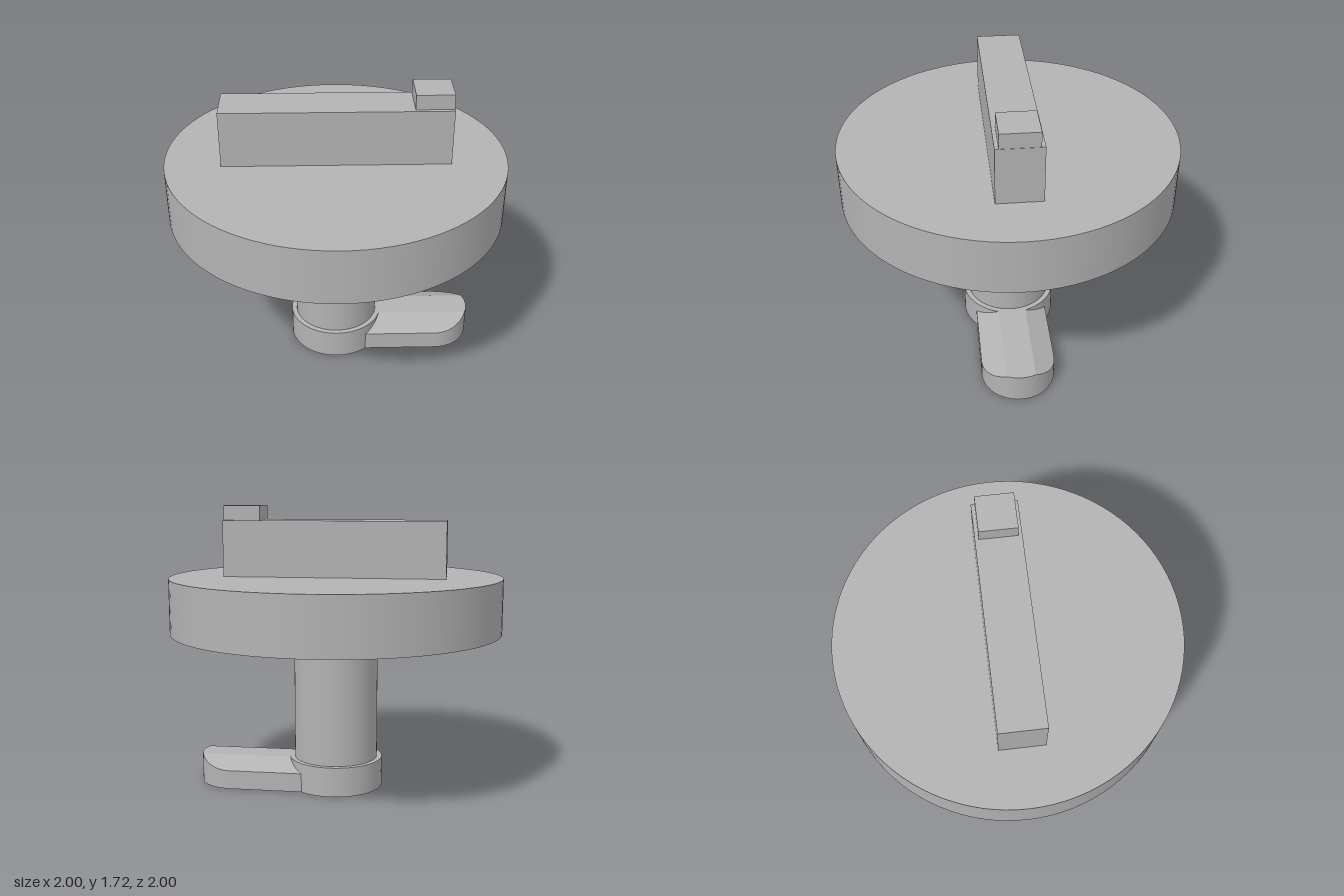
import * as THREE from 'three';
import { toCreasedNormals } from 'three/addons/utils/BufferGeometryUtils.js';

const grey = new THREE.MeshStandardMaterial({ color: 0xb3b3b3 });
grey.name = 'plain grey';

function add(group, name, geometry, x = 0, y = 0, z = 0) {
  const mesh = new THREE.Mesh(geometry, grey);
  mesh.name = name;
  mesh.position.set(x, y, z);
  group.add(mesh);
  return mesh;
}

// Lathe with hard edges: inner profile points are doubled
function sharpLathe(profile, segments) {
  const pts = profile.flatMap(([r, y], i) =>
    (i > 0 && i < profile.length - 1 ? [0, 1] : [0]).map(() => new THREE.Vector2(r, y)));
  return new THREE.LatheGeometry(pts, segments);
}

// Lever: lengthwise sections, round tip, sloped shoulders on both sides of a flat crest
function leverGeometry() {
  const half = 0.22, crest = 0.085, low = 0.115, high = 0.18, tipX = 0.63, hubR = 0.28;
  const zs = [-crest, crest];
  for (let i = 0; i <= 32; i++) zs.push(half * Math.sin(-Math.PI / 2 + (Math.PI * i) / 32));
  zs.sort((a, b) => a - b);
  const sections = zs.map((z) => {
    const start = Math.sqrt(hubR * hubR - z * z);
    const end = tipX + Math.sqrt(Math.max(0, half * half - z * z));
    const top = Math.min(high, low + ((half - Math.abs(z)) / (half - crest)) * (high - low));
    return [[start, 0, z], [end, 0, z], [end, top, z], [start, top, z]];
  });
  const pos = [];
  const quad = (a, b, c, d) => pos.push(...a, ...b, ...c, ...a, ...c, ...d);
  for (let i = 0; i < sections.length - 1; i++) {
    const p = sections[i], q = sections[i + 1];
    for (let k = 0; k < 4; k++) {
      const n = (k + 1) % 4;
      quad(p[k], p[n], q[n], q[k]);
    }
  }
  const first = sections[0], last = sections[sections.length - 1];
  quad(first[3], first[2], first[1], first[0]);
  quad(...last);
  const g = new THREE.BufferGeometry();
  g.setAttribute('position', new THREE.Float32BufferAttribute(pos, 3));
  return toCreasedNormals(g, 0.35);
}

export function createModel() {
  const model = new THREE.Group();
  model.name = 'rotaryHandle';

  // Disc: rim and top, then an underside pierced by three blind holes
  const discBottom = 0.97, discTop = 1.3;
  add(model, 'disc', sharpLathe([[1, discBottom], [1, discTop], [0, discTop]], 96));

  const holeR = 0.107, holeDepth = 0.06;
  const holes = [[0.78, 0], [0, 0.78], [0, -0.78]];
  const underside = new THREE.Shape().absarc(0, 0, 1, 0, Math.PI * 2, false);
  for (const [x, z] of holes) {
    underside.holes.push(new THREE.Path().absarc(x, z, holeR, 0, Math.PI * 2, true));
  }
  add(model, 'discUnderside', new THREE.ShapeGeometry(underside, 48).rotateX(Math.PI / 2), 0, discBottom, 0);
  const recess = sharpLathe([[0, holeDepth], [holeR, holeDepth], [holeR, 0]], 48);
  holes.forEach(([x, z], i) => add(model, `blindHole${i + 1}`, recess, x, discBottom, z));

  // Grip bar with its pointer block
  add(model, 'gripBar', new THREE.BoxGeometry(1.33, 0.335, 0.264), 0, 1.4675, 0);
  add(model, 'pointerBlock', new THREE.BoxGeometry(0.22, 0.09, 0.22), 0.553, 1.678, 0);

  // Shaft, hub and lever
  add(model, 'shaft', new THREE.CylinderGeometry(0.255, 0.255, 0.83, 64), 0, 0.565, 0);
  add(model, 'hub', new THREE.CylinderGeometry(0.286, 0.286, 0.18, 64), 0, 0.09, 0);
  add(model, 'lever', leverGeometry());

  return model;
}
